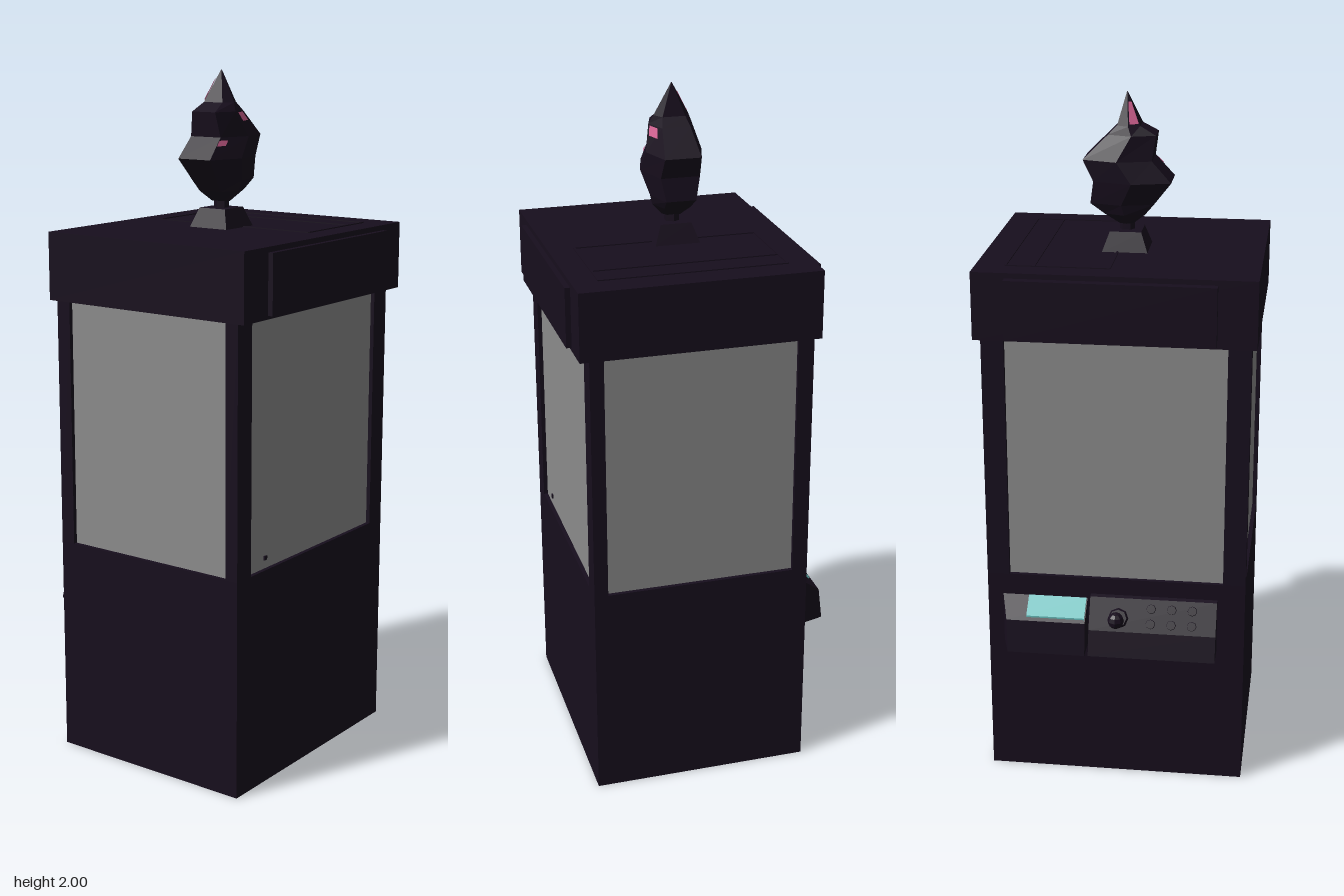
import * as THREE from 'three';

const mat = (color, extra = {}) => new THREE.MeshStandardMaterial({ color, flatShading: true, ...extra });

export function createModel() {
  const group = new THREE.Group();
  const dark = mat(0x170e1d), glass = mat(0x8c8c8c), teal = mat(0x66bdbb);
  const pink = mat(0xd0608f, { side: THREE.DoubleSide });

  const add = (name, geo, material = dark, parent = group) => {
    const mesh = new THREE.Mesh(geo, material);
    mesh.name = name;
    parent.add(mesh);
    return mesh;
  };
  // Box given by its limits on each axis
  const box = (name, x0, x1, y0, y1, z0, z1, material) => {
    const mesh = add(name, new THREE.BoxGeometry(x1 - x0, y1 - y0, z1 - z0), material);
    mesh.position.set((x0 + x1) / 2, (y0 + y1) / 2, (z0 + z1) / 2);
    return mesh;
  };
  // Side profile in x and y, drawn out along z
  const prism = (points, z0, z1) => {
    const shape = new THREE.Shape(points.map(p => new THREE.Vector2(...p)));
    return new THREE.ExtrudeGeometry(shape, { depth: z1 - z0, bevelEnabled: false }).translate(0, 0, z0);
  };

  // Cabinet: solid base, corner posts and recessed panes
  box('cabinetBase', -0.28, 0.355, 0, 0.64, -0.375, 0.38);
  for (const [x0, x1] of [[-0.28, -0.235], [0.315, 0.355]])
    for (const [z0, z1] of [[-0.375, -0.31], [0.315, 0.38]])
      box('cornerPost', x0, x1, 0.64, 1.36, z0, z1);
  box('windowPanes', -0.268, 0.343, 0.64, 1.36, -0.363, 0.368, glass);
  box('windowStud', 0.34, 0.347, 0.665, 0.677, 0.225, 0.237);

  // Roof with a blank sign panel on either side
  box('roof', -0.295, 0.385, 1.36, 1.555, -0.395, 0.395);
  box('rightSignPanel', -0.32, -0.295, 1.37, 1.54, -0.3, 0.285);
  box('leftSignPanel', 0.385, 0.4, 1.37, 1.54, -0.3, 0.285);

  // Low frames on the roof
  for (const [z0, z1] of [[-0.31, -0.23], [-0.23, -0.02]]) {
    for (const z of [z0, z1]) box('roofTrim', -0.22, 0.31, 1.555, 1.558, z - 0.003, z + 0.003);
    for (const x of [-0.22, 0.31]) box('roofTrim', x - 0.003, x + 0.003, 1.555, 1.558, z0, z1);
  }

  // Control console
  add('controlConsole', prism([[-0.28, 0.425], [-0.28, 0.59], [-0.293, 0.587], [-0.338, 0.5], [-0.357, 0.425]], -0.07, 0.3));

  // Screen console, its outer end narrowing away from the cabinet
  const screenGeo = prism([[-0.28, 0.425], [-0.28, 0.575], [-0.345, 0.523], [-0.358, 0.425]], -0.33, -0.08);
  const p = screenGeo.attributes.position;
  for (let i = 0; i < p.count; i++)
    if (p.getZ(i) < -0.2) p.setZ(i, -0.33 - (p.getX(i) + 0.28) * 0.3);
  screenGeo.computeVertexNormals();
  add('screenConsole', screenGeo);
  add('screen', prism([[-0.283, 0.572], [-0.283, 0.577], [-0.336, 0.535], [-0.336, 0.53]], -0.253, -0.083), teal);

  // Buttons on the console slope
  const slope = new THREE.Vector3(-0.087, 0.045, 0).normalize();
  const up = new THREE.Vector3(0, 1, 0);
  for (let row = 0; row < 2; row++)
    for (let col = 0; col < 3; col++) {
      const button = add('button', new THREE.CylinderGeometry(0.013, 0.015, 0.012, 8));
      button.position.set(-0.306 - row * 0.02, 0.563 - row * 0.039, 0.11 + col * 0.06);
      button.quaternion.setFromUnitVectors(up, slope);
    }

  // Joystick
  const stickBase = add('joystickBase', new THREE.CylinderGeometry(0.025, 0.035, 0.015, 8));
  stickBase.position.set(-0.32, 0.535, 0.015);
  stickBase.quaternion.setFromUnitVectors(up, slope);
  const path = new THREE.LineCurve3(new THREE.Vector3(-0.315, 0.515, 0.015), new THREE.Vector3(-0.377, 0.557, 0.015));
  add('joystickShaft', new THREE.TubeGeometry(path, 1, 0.008, 6));
  add('joystickKnob', new THREE.SphereGeometry(0.024, 8, 6)).position.set(-0.377, 0.557, 0.015);

  // Finial pedestal and neck
  const pedestal = add('finialPedestal', new THREE.CylinderGeometry(0.045 * Math.SQRT2, 0.065 * Math.SQRT2, 0.055, 4).rotateY(Math.PI / 4));
  pedestal.position.set(0.021, 1.5825, 0);
  add('finialNeck', new THREE.CylinderGeometry(0.022, 0.022, 0.04, 6)).position.set(0.021, 1.625, 0);

  // Faceted finial head from six-sided sections: height, half width, back z, front z
  const sections = [
    [1.63, 0.03, -0.02, 0.02], [1.66, 0.058, -0.06, 0.055], [1.69, 0.066, -0.1, 0.08],
    [1.755, 0.086, -0.09, 0.13], [1.815, 0.08, -0.12, 0.075], [1.885, 0.062, -0.05, 0.085],
    [1.91, 0.05, -0.025, 0.04], [2, 0.001, -0.001, 0.001],
  ];
  const rings = sections.map(([y, w, zb, zf]) => [
    [0.65 * w, zf], [w, (zf + zb) / 2], [0.65 * w, zb], [-0.65 * w, zb], [-w, (zf + zb) / 2], [-0.65 * w, zf],
  ].map(([x, z]) => new THREE.Vector3(0.021 + x, y, z)));
  const quad = (a, b, c, d) => [a, b, c, a, c, d];
  const faces = [];
  for (let i = 0; i < rings.length - 1; i++)
    for (let j = 0; j < 6; j++) {
      const k = (j + 1) % 6;
      faces.push(...quad(rings[i][j], rings[i][k], rings[i + 1][k], rings[i + 1][j]));
    }
  for (let j = 1; j < 5; j++) faces.push(rings[0][0], rings[0][j + 1], rings[0][j]);
  const fromPoints = pts => {
    const geo = new THREE.BufferGeometry().setFromPoints(pts);
    geo.computeVertexNormals();
    return geo;
  };
  add('finialHead', fromPoints(faces));

  // Coloured facet patches lying just off the head
  const patch = (i, j, u0, u1, v0, v1) => {
    const k = (j + 1) % 6;
    const at = (u, v) => rings[i][j].clone().lerp(rings[i][k], u)
      .lerp(rings[i + 1][j].clone().lerp(rings[i + 1][k], u), v);
    const corners = [at(u0, v0), at(u1, v0), at(u1, v1), at(u0, v1)];
    const normal = corners[1].clone().sub(corners[0]).cross(corners[3].clone().sub(corners[0])).normalize();
    corners.forEach(c => c.addScaledVector(normal, 0.003));
    add('facetPatch', fromPoints(quad(...corners)), pink);
  };
  patch(6, 4, 0.1, 0.9, 0.05, 0.7);
  patch(4, 1, 0.15, 0.7, 0.6, 0.95);
  patch(3, 0, 0, 0.3, 0.6, 0.85);

  return group;
}
